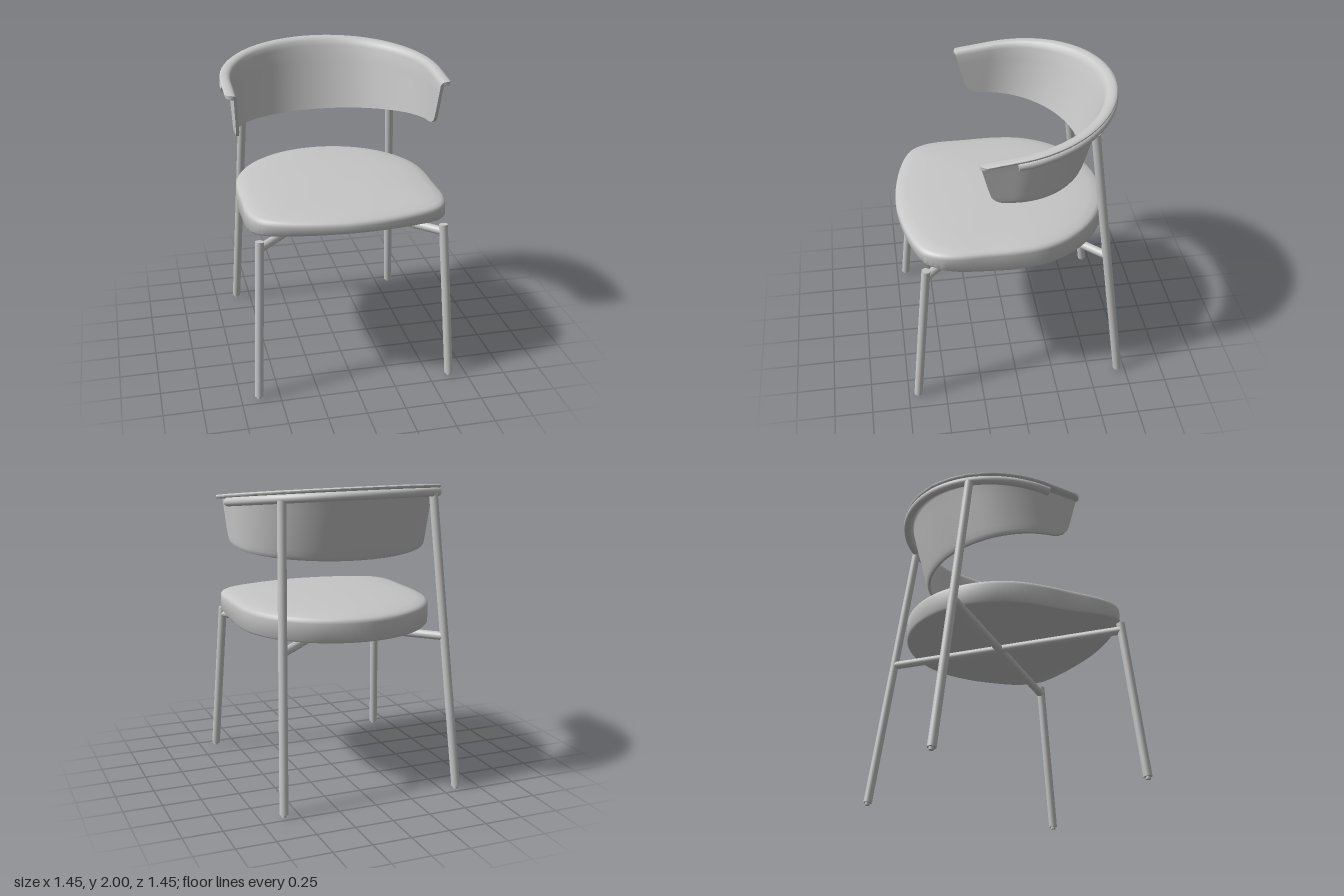
import * as THREE from 'three';
import { toCreasedNormals } from 'three/addons/utils/BufferGeometryUtils.js';

const grey = new THREE.MeshStandardMaterial({ color: 0xc6c6c6 });
grey.name = 'warm grey';
const lerp = THREE.MathUtils.lerp;
const V = (x, y, z) => new THREE.Vector3(x, y, z);

function add(parent, name, geometry) {
  const mesh = new THREE.Mesh(geometry, grey);
  mesh.name = name;
  parent.add(mesh);
  return mesh;
}

// Round bar between two points
function rod(parent, name, a, b, r) {
  const mesh = add(parent, name, new THREE.CylinderGeometry(r, r, a.distanceTo(b), 24));
  mesh.position.copy(a).add(b).multiplyScalar(0.5);
  mesh.quaternion.setFromUnitVectors(V(0, 1, 0), b.clone().sub(a).normalize());
  return mesh;
}

function indexed(positions, index, crease) {
  const g = new THREE.BufferGeometry();
  g.setAttribute('position', new THREE.Float32BufferAttribute(positions, 3));
  g.setIndex(index);
  return toCreasedNormals(g, crease);
}

// Seat cushion: rings scaled from a plan outline, rising from underside to crown
function seatGeometry() {
  const half = [];
  for (let i = 0; i <= 6; i++) {
    const a = (i / 6) * Math.PI / 2;
    half.push([0.645 * Math.sin(a), -0.642 * Math.cos(a)]);
  }
  half.push([0.645, 0.2], [0.643, 0.4], [0.622, 0.5], [0.575, 0.58], [0.5, 0.628], [0.28, 0.695], [0, 0.727]);
  const mirrored = half.slice(1, -1).reverse().map(([x, z]) => [-x, z]);
  const curve = new THREE.CatmullRomCurve3([...half, ...mirrored].map(([x, z]) => V(x, 0, z)), true);
  const n = 120, outline = curve.getSpacedPoints(n).slice(0, n);
  const under = z => 1.038 + 0.078 * Math.pow(Math.max(0, (z - 0.03) / 0.7), 1.8);
  // [scale, height]; a null height follows the underside
  const rings = [[0.001, null], [0.3, null], [0.6, null], [0.85, null], [0.985, null], [1, null, 0.012],
    [1, 1.16], [0.997, 1.173], [0.985, 1.184], [0.96, 1.193], [0.88, 1.204], [0.7, 1.214], [0.4, 1.222], [0.001, 1.225]];
  const positions = [], index = [];
  for (const [s, y, lift = 0] of rings) {
    for (const p of outline) {
      const z = 0.04 + (p.z - 0.04) * s;
      positions.push(p.x * s, y === null ? under(z) + lift : y, z);
    }
  }
  for (let i = 0; i < rings.length - 1; i++) {
    for (let j = 0; j < n; j++) {
      const k = (j + 1) % n, a = i * n + j, b = i * n + k, c = a + n, d = b + n;
      index.push(a, c, b, b, c, d);
    }
  }
  return indexed(positions, index, 0.75);
}

// Backrest: a curved wall with an outward lip, swept around the sitter
function backrestGeometry() {
  // [height fraction, outward offset, vertical shift, front end z]
  const inner = [[0, 0, 0, 0.08], [0.02, 0, 0, 0.12], [0.07, 0, 0, 0.155], [0.16, 0, 0, 0.178], [0.4, 0, 0, 0.2],
    [0.7, 0, 0, 0.222], [0.9, 0, 0, 0.236], [0.96, 0.004, 0, 0.242], [0.99, 0.014, 0, 0.246],
    [1, 0.03, 0, 0.248], [1, 0.05, 0, 0.243], [1, 0.064, -0.003, 0.225], [1, 0.07, -0.008, 0.205]];
  const outer = [[1, 0.07, -0.016, 0.205], [1, 0.064, -0.022, 0.225], [1, 0.05, -0.024, 0.243],
    [1, 0.038, -0.026, 0.248], [0.95, 0.026, -0.012, 0.246], [0.91, 0.021, 0, 0.242], [0.87, 0.02, 0, 0.236],
    [0.7, 0.02, 0, 0.222], [0.4, 0.02, 0, 0.2], [0.16, 0.02, 0, 0.178], [0.07, 0.02, 0, 0.155],
    [0.02, 0.018, 0, 0.12], [0, 0.014, 0, 0.08]];
  const rows = [...inner, ...outer], n = 100, w = n + 1, count = rows.length;
  const positions = [], index = [];
  for (const [k, out, dy, end] of rows) {
    const zc = lerp(0.05, 0, k), rx = lerp(0.632, 0.65, k) + out, rz = lerp(0.53, 0.618, k) + out;
    for (let j = 0; j <= n; j++) {
      const u = (j / n) * 2 - 1, t = Math.min(1, Math.abs(u) / 0.8), a = t * Math.PI / 2;
      const straight = Math.max(0, (Math.abs(u) - 0.8) / 0.2);
      const z = zc - rz * Math.cos(a) + (end - zc) * straight;
      const low = 1.562 + 0.078 * z, high = 1.912 - 0.128 * z;
      positions.push(Math.sign(u) * rx * Math.sin(a), lerp(low, high, k) + dy, z);
    }
  }
  for (let i = 0; i < count; i++) {
    const next = (i + 1) % count;
    for (let j = 0; j < n; j++) {
      const a = i * w + j, c = next * w + j;
      index.push(a, a + 1, c + 1, a, c + 1, c);
    }
  }
  // Front ends of both arms
  for (let i = 0; i < inner.length - 1; i++) {
    const [a, b, c, d] = [i, count - 1 - i, count - 2 - i, i + 1].map(r => r * w);
    index.push(a + n, b + n, c + n, a + n, c + n, d + n);
    index.push(a, c, b, a, d, c);
  }
  return indexed(positions, index, 0.8);
}

export function createModel() {
  const chair = new THREE.Group();
  chair.name = 'armchair';
  add(chair, 'seat', seatGeometry());
  add(chair, 'backrest', backrestGeometry());

  // Bent tube carrying the backrest lip
  const path = [];
  for (let i = 0; i <= 24; i++) {
    const a = lerp(-1.6, 1.6, i / 24), z = -0.667 * Math.cos(a);
    path.push(V(0.695 * Math.sin(a), 1.861 - 0.127 * z, z));
  }
  const bend = new THREE.CatmullRomCurve3(path);
  add(chair, 'backTube', new THREE.TubeGeometry(bend, 96, 0.028, 20));
  for (const t of [0, 1]) {
    const p = bend.getPoint(t), dir = bend.getTangent(t).multiplyScalar(t ? 0.004 : -0.004);
    rod(chair, 'tubeEndCap', p, p.clone().add(dir), 0.028);
  }

  // Legs, glides and crossed rails
  const foot = (x, z) => {
    const glide = add(chair, 'footGlide', new THREE.CylinderGeometry(0.016, 0.016, 0.03, 16));
    glide.position.set(x, 0.015, z);
  };
  for (const s of [-1, 1]) {
    rod(chair, 'frontLeg', V(s * 0.636, 0.016, 0.686), V(s * 0.587, 1.053, 0.582), 0.028);
    rod(chair, 'backLeg', V(s * 0.598, 0.016, -0.698), V(s * 0.507, 1.91, -0.463), 0.028);
    foot(s * 0.636, 0.688);
    foot(s * 0.598, -0.7);
    rod(chair, 'crossRail', V(s * 0.588, 1.005, 0.582), V(-s * 0.55, 1.005, -0.575), 0.027);
  }
  return chair;
}
